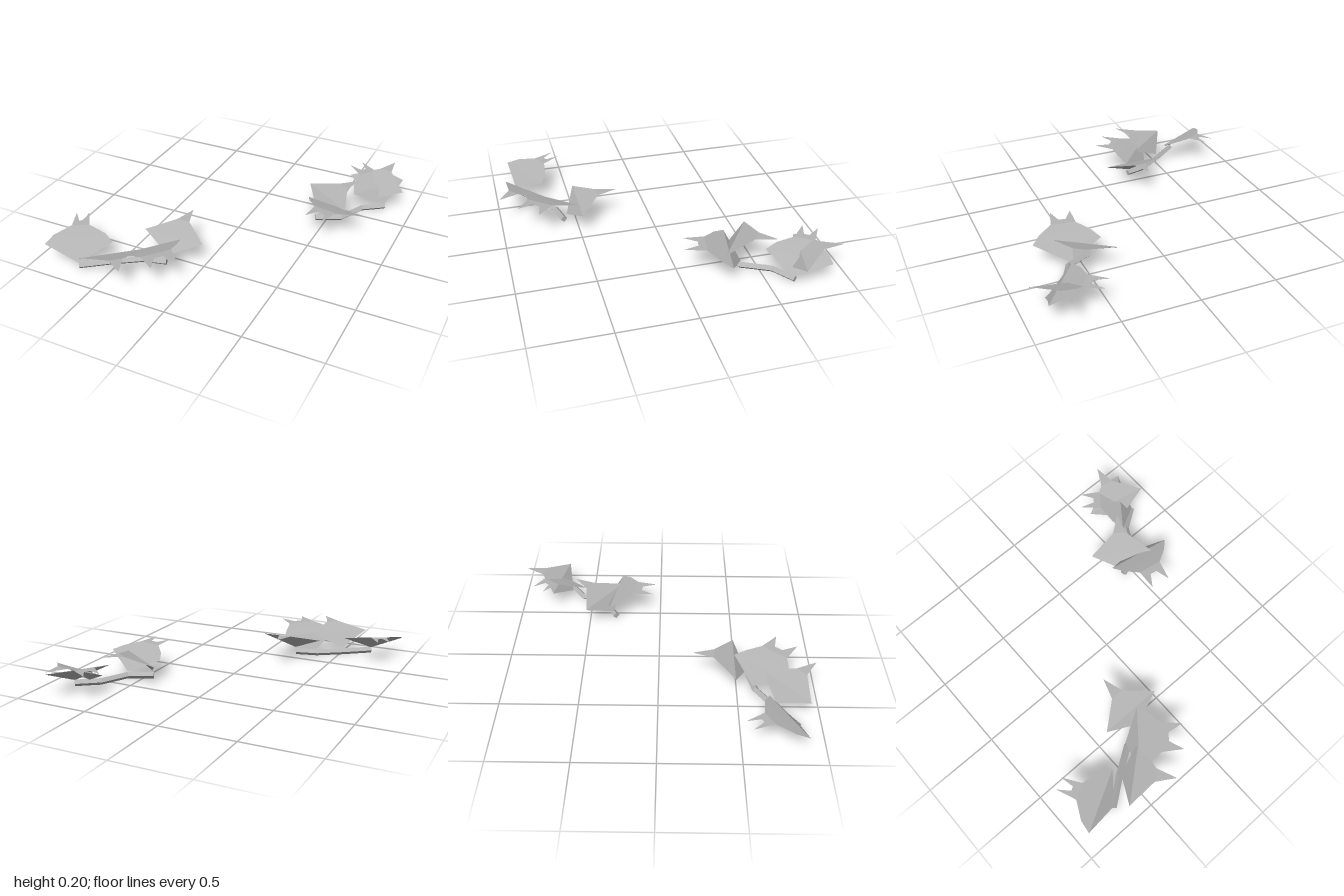
import * as THREE from 'three';

const grey = new THREE.MeshStandardMaterial({ color: 0xb4b4b4, side: THREE.DoubleSide, flatShading: true });
grey.name = 'grey';

// Height of a leaf above its base, by distance u along the leaf
const RISE = [[0, 0], [0.08, 0.095], [0.215, 0.14], [0.37, 0.145]];
function rise(u) {
  for (let i = 1; i < RISE.length; i++) {
    const [u0, y0] = RISE[i - 1], [u1, y1] = RISE[i];
    if (u <= u1) return y0 + (y1 - y0) * (u - u0) / (u1 - u0);
  }
  return 0.145;
}

function meshFromTriangles(points, name) {
  const geometry = new THREE.BufferGeometry().setFromPoints(points);
  geometry.computeVertexNormals();
  const mesh = new THREE.Mesh(geometry, grey);
  mesh.name = name;
  return mesh;
}

// Folded leaf growing along local +z; spread is the half distance between its
// two pointed tips, or 0 for a single tip
function makeLeaf({ base, dir, spread = 0 }) {
  const p = (u, v) => new THREE.Vector3(v, rise(u), u);
  const rows = spread
    ? [[0.08, 0.212], [0.15, 0.162], [0.222, spread + 0.015], [0.27, spread * 0.35]]
    : [[0.08, 0.203], [0.212, 0.043]];
  const tris = [p(0, 0), p(0.08, 0.21), p(0.08, -0.21)];
  for (let i = 1; i < rows.length; i++) {
    const [u0, v0] = rows[i - 1], [u1, v1] = rows[i];
    tris.push(p(u0, -v0), p(u0, v0), p(u1, v1), p(u0, -v0), p(u1, v1), p(u1, -v1));
  }
  // Pointed tips
  const [un, vn] = rows[rows.length - 1];
  if (spread) {
    const [uk, vk] = rows[2];
    tris.push(p(uk, vk), p(0.362, spread), p(un, vn));
    tris.push(p(uk, -vk), p(un, -vn), p(0.362, -spread));
  } else {
    tris.push(p(un, -vn), p(un, vn), p(0.347, 0));
  }
  const leaf = meshFromTriangles(tris, 'leaf');
  leaf.position.set(...base);
  leaf.rotation.y = Math.atan2(dir[0], dir[1]);
  return leaf;
}

// Four-sided stem lying on the ground along a bent path of [x, z] points
function makeStem(path) {
  const r = 0.0225;
  const rings = path.map(([x, z], i) => {
    const a = path[Math.max(i - 1, 0)], b = path[Math.min(i + 1, path.length - 1)];
    const t = new THREE.Vector2(b[0] - a[0], b[1] - a[1]).normalize();
    return [[1, 0], [0, 1], [-1, 0], [0, -1]].map(([s, h]) =>
      new THREE.Vector3(x - t.y * s * r, r + h * r, z + t.x * s * r));
  });
  const tris = [];
  for (let i = 1; i < rings.length; i++) {
    for (let k = 0; k < 4; k++) {
      const a = rings[i - 1][k], b = rings[i - 1][(k + 1) % 4];
      const c = rings[i][(k + 1) % 4], d = rings[i][k];
      tris.push(a, b, c, a, c, d);
    }
  }
  // End caps
  const [s, e] = [rings[0], rings[rings.length - 1]];
  tris.push(s[0], s[2], s[1], s[0], s[3], s[2], e[0], e[1], e[2], e[0], e[2], e[3]);
  return meshFromTriangles(tris, 'stem');
}

function makeSprig(name, path, leaves) {
  const sprig = new THREE.Group();
  sprig.name = name;
  sprig.add(makeStem(path), ...leaves.map(makeLeaf));
  return sprig;
}

export function createModel() {
  const model = new THREE.Group();
  model.name = 'leafSprigs';
  model.add(makeSprig('frontSprig',
    [[-0.695, 0.855], [-0.53, 0.73], [-0.365, 0.62], [-0.22, 0.585]],
    [
      { base: [-0.695, 0.04, 0.855], dir: [-0.48, -0.88], spread: 0.04 },
      { base: [-0.52, 0.05, 0.735], dir: [0.65, 0.76] },
      { base: [-0.365, 0.055, 0.6], dir: [0.77, 0.64], spread: 0.082 },
      { base: [-0.22, 0.06, 0.565], dir: [0, -1] },
    ]));
  model.add(makeSprig('backSprig',
    [[0.435, -0.315], [0.59, -0.39], [0.68, -0.57], [0.815, -0.665]],
    [
      { base: [0.437, 0.06, -0.33], dir: [0.57, -0.82] },
      { base: [0.585, 0.05, -0.395], dir: [-0.18, 0.98], spread: 0.064 },
      { base: [0.71, 0.055, -0.65], dir: [0.2, -0.98] },
      { base: [0.815, 0.04, -0.66], dir: [-0.8, -0.6], spread: 0.05 },
    ]));
  return model;
}
